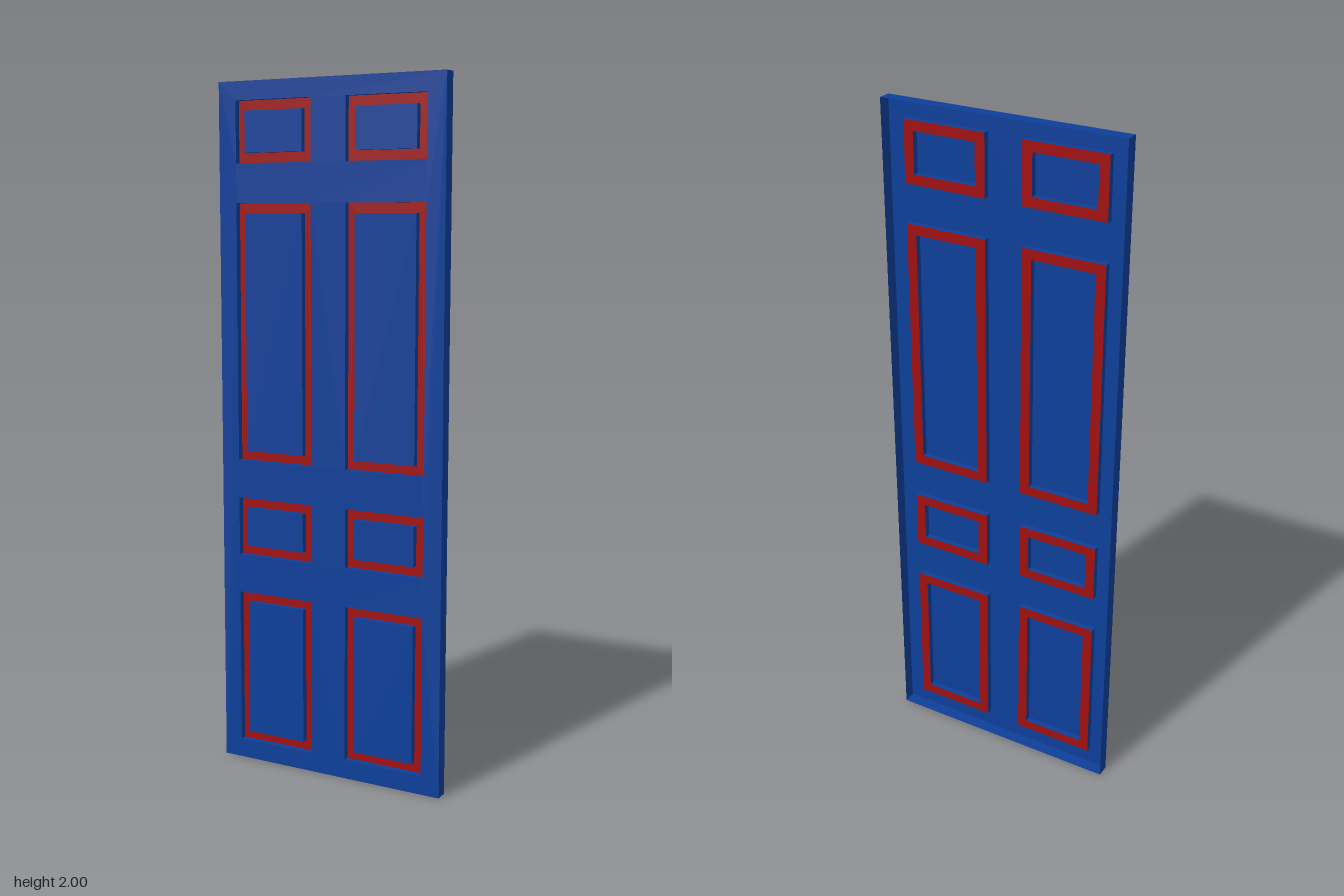
import * as THREE from 'three';

const HALF_W = 0.356, HEIGHT = 2, FRONT = 0.019, THICK = 0.038;
const GROOVE = 0.018, BORDER = 0.029;

const blue = new THREE.MeshStandardMaterial({ color: 0x0d3f99, side: THREE.DoubleSide });
const red = new THREE.MeshStandardMaterial({ color: 0xa01010, side: THREE.DoubleSide });

// Rectangles are { x0, x1, y0, y1 }
const inset = (r, d) => ({ x0: r.x0 + d, x1: r.x1 - d, y0: r.y0 + d, y1: r.y1 - d });

function outline(r, PathType) {
  return new PathType([[r.x0, r.y0], [r.x1, r.y0], [r.x1, r.y1], [r.x0, r.y1]]
    .map(([x, y]) => new THREE.Vector2(x, y)));
}

// Flat face at depth z, with rectangular holes
function face(name, r, holes, z, material) {
  const shape = outline(r, THREE.Shape);
  shape.holes = holes.map(h => outline(h, THREE.Path));
  const mesh = new THREE.Mesh(new THREE.ShapeGeometry(shape), material);
  mesh.name = name;
  mesh.position.z = z;
  return mesh;
}

// Four walls around a rectangle, running back from the front plane
function walls(name, r, depth) {
  const geo = new THREE.BoxGeometry(r.x1 - r.x0, r.y1 - r.y0, depth);
  geo.setIndex(Array.from(geo.index.array.slice(0, 24))); // keep the sides only
  geo.clearGroups();
  const mesh = new THREE.Mesh(geo, blue);
  mesh.name = name;
  mesh.position.set((r.x0 + r.x1) / 2, (r.y0 + r.y1) / 2, FRONT - depth / 2);
  return mesh;
}

export function createModel() {
  const door = new THREE.Group();
  door.name = 'panelledDoor';
  const slab = { x0: -HALF_W, x1: HALF_W, y0: 0, y1: HEIGHT };

  // Panel rows, bottom to top, mirrored left and right
  const rows = [[0.056, 0.516], [0.63, 0.802], [0.915, 1.66], [1.772, 1.947]];
  const panels = [];
  for (const [y0, y1] of rows) {
    panels.push({ x0: -0.3, x1: -0.055, y0, y1 }, { x0: 0.055, x1: 0.3, y0, y1 });
  }

  // Door skin and edge, open at the back
  door.add(face('doorFace', slab, panels, FRONT, blue));
  door.add(walls('doorEdge', slab, THICK));

  // Sunken coloured border around each panel
  for (const outer of panels) {
    const inner = inset(outer, BORDER);
    const panel = new THREE.Group();
    panel.name = 'panel';
    panel.add(
      face('panelBorder', outer, [inner], FRONT - GROOVE, red),
      face('panelCentre', inner, [], FRONT, blue),
      walls('grooveOuterWall', outer, GROOVE),
      walls('grooveInnerWall', inner, GROOVE),
    );
    door.add(panel);
  }
  return door;
}
